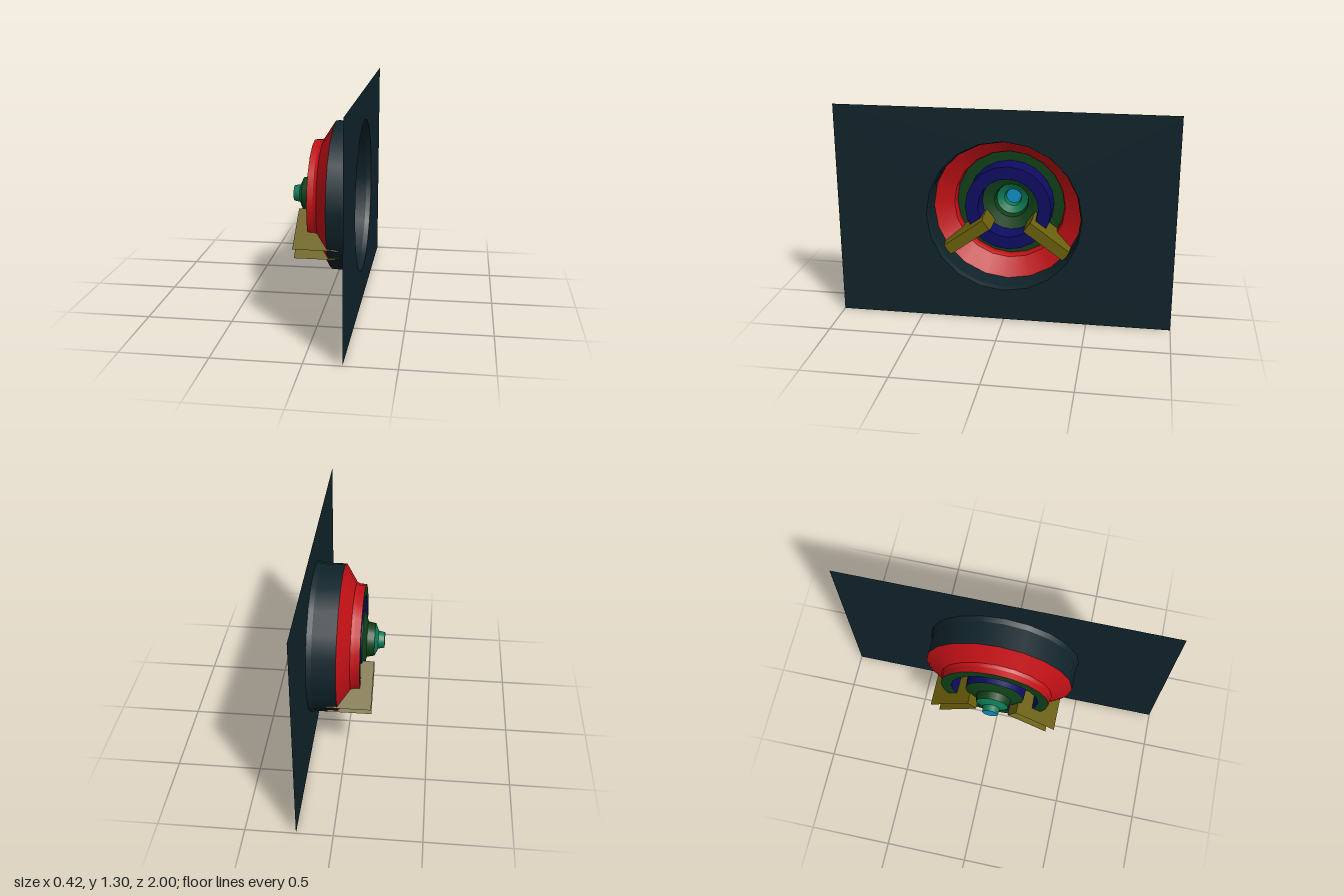
import * as THREE from 'three';

const SIDES = 20;
const CENTER_Y = 0.652;
const PLATE_X = 0.21;

function material(color) {
  return new THREE.MeshStandardMaterial({ color, side: THREE.DoubleSide });
}

const dark = material(0x10242b);
const red = material(0xc01015);
const green = material(0x0f4018);
const blue = material(0x0e0c62);
const teal = material(0x0c7a55);
const cyan = material(0x1090c8);
const olive = material(0x6a5f0c);

// Turned surface around the x axis; each pair of [x, radius] points is its own smooth band
function turned(name, profile, mat) {
  const part = new THREE.Group();
  part.name = name;
  for (let i = 0; i < profile.length - 1; i++) {
    const points = [profile[i], profile[i + 1]].map(([x, r]) => new THREE.Vector2(r, x));
    const band = new THREE.Mesh(new THREE.LatheGeometry(points, SIDES), mat);
    band.name = `${name}Band`;
    band.rotation.z = -Math.PI / 2;
    part.add(band);
  }
  return part;
}

// Thin rectangular sheet with a polygonal opening
function plate() {
  const shape = new THREE.Shape();
  shape.moveTo(-1, 0).lineTo(1, 0).lineTo(1, 1.3).lineTo(-1, 1.3).closePath();
  const hole = [];
  for (let i = 0; i < SIDES; i++) {
    const a = -(i / SIDES) * Math.PI * 2;
    hole.push(new THREE.Vector2(0.462 * Math.cos(a), CENTER_Y + 0.462 * Math.sin(a)));
  }
  shape.holes.push(new THREE.Path(hole));
  const mesh = new THREE.Mesh(new THREE.ShapeGeometry(shape), dark);
  mesh.name = 'mountingPlate';
  mesh.rotation.y = Math.PI / 2;
  mesh.position.x = PLATE_X;
  return mesh;
}

// Radial channel, open at the rear and outer end, with chamfered front edges
function arm(name, angle) {
  const inner = 0.154, outer = 0.455;
  const section = [
    [-0.16, -0.043], [0.065, -0.043], [0.105, -0.035],
    [0.105, 0.035], [0.065, 0.043], [-0.16, 0.043],
  ];
  const vertices = [];
  for (let i = 0; i < section.length - 1; i++) {
    const [a, b] = [section[i], section[i + 1]];
    vertices.push(...a, inner, ...b, inner, ...b, outer);
    vertices.push(...a, inner, ...b, outer, ...a, outer);
  }
  const walls = new THREE.BufferGeometry();
  walls.setAttribute('position', new THREE.Float32BufferAttribute(vertices, 3));
  walls.computeVertexNormals();
  const channel = new THREE.Mesh(walls, olive);
  channel.name = 'armChannel';

  const cap = new THREE.Mesh(
    new THREE.ShapeGeometry(new THREE.Shape(section.map(([x, w]) => new THREE.Vector2(x, w)))), olive);
  cap.name = 'armInnerEnd';
  cap.position.z = inner;

  const group = new THREE.Group();
  group.name = name;
  group.add(channel, cap);
  group.rotation.x = angle;
  return group;
}

export function createModel() {
  const model = new THREE.Group();
  model.name = 'recessedHousing';
  model.add(plate());

  const bell = new THREE.Group();
  bell.name = 'bell';
  bell.position.y = CENTER_Y;
  model.add(bell);

  // Stepped bell, from the plate opening to the tip
  bell.add(
    turned('collar', [[PLATE_X, 0.462], [0.18, 0.452], [0.04, 0.452]], dark),
    turned('outerCone', [[0.04, 0.452], [-0.03, 0.342], [-0.05, 0.334], [-0.087, 0.333]], red),
    turned('flatRing', [[-0.087, 0.333], [-0.087, 0.268]], green),
    turned('groove', [[-0.087, 0.268], [0.04, 0.263], [0.04, 0.185], [-0.087, 0.178]], blue),
    turned('innerCone', [[-0.087, 0.178], [-0.11, 0.107], [-0.155, 0.098]], green),
    turned('neck', [[-0.155, 0.098], [-0.175, 0.054], [-0.212, 0.047]], teal),
    turned('tip', [[-0.212, 0.047], [-0.212, 0]], cyan),
  );

  // Pair of arms reaching down and outward
  const tilt = Math.PI / 5;
  bell.add(arm('leftArm', tilt), arm('rightArm', Math.PI - tilt));
  return model;
}
